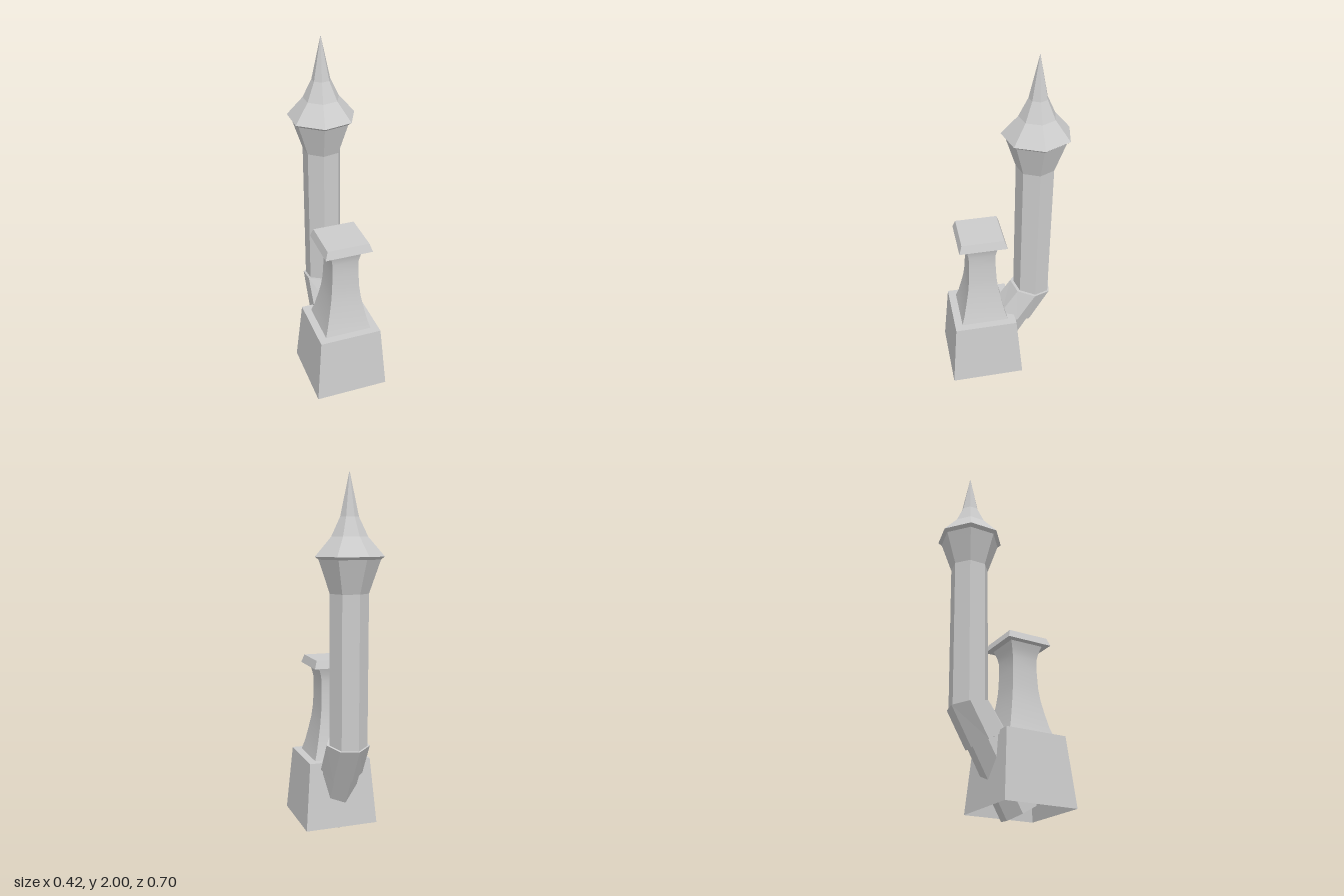
import * as THREE from 'three';
import { toCreasedNormals } from 'three/addons/utils/BufferGeometryUtils.js';

const GREY = 0xcccccc;
const flat = new THREE.MeshStandardMaterial({ color: GREY, flatShading: true, side: THREE.DoubleSide });
const smooth = new THREE.MeshStandardMaterial({ color: GREY });

// Square tapered solid from [half width, height] pairs, bottom to top
function squareLathe(profile) {
  const points = profile.map(([half, y]) => new THREE.Vector2(half * Math.SQRT2, y));
  return new THREE.LatheGeometry(points, 4).rotateY(Math.PI / 4);
}

// Seven-sided pipe from rings [y, z, radius, tilt], bottom to top
function sevenSided(rings) {
  const points = rings.map((ring, row) => new THREE.Vector2(1, row));
  const geo = new THREE.LatheGeometry(points, 7).rotateY(Math.PI / 2);
  const p = geo.attributes.position;
  for (let i = 0; i < p.count; i++) {
    const [y, z, r, tilt] = rings[Math.round(p.getY(i))];
    const s = p.getZ(i) * r;
    p.setXYZ(i, p.getX(i) * r, y + s * Math.sin(tilt), z + s * Math.cos(tilt));
  }
  geo.computeVertexNormals();
  return geo;
}

export function createModel() {
  const model = new THREE.Group();
  const add = (name, geo, material, z = 0) => {
    const mesh = new THREE.Mesh(geo, material);
    mesh.name = name;
    mesh.position.z = z;
    model.add(mesh);
  };

  // Square pedestal, open underneath
  add('base', squareLathe([[0.208, 0.06], [0.176, 0.435], [0, 0.435]]), flat, 0.14);

  // Waisted square column, smooth along its height with sharp corners
  const column = squareLathe([
    [0.133, 0.435], [0.117, 0.49], [0.1, 0.57], [0.087, 0.64], [0.079, 0.71],
    [0.075, 0.8], [0.075, 0.875], [0.083, 0.915], [0.097, 0.955],
  ]);
  add('column', toCreasedNormals(column, 0.8), smooth, 0.14);
  add('columnCap', squareLathe([[0, 0.955], [0.132, 0.955], [0.117, 1], [0, 1]]), flat, 0.14);

  // Slanted pipe passing through the pedestal
  const slant = Math.PI / 6;
  add('lowerPipe', sevenSided([[0.055, 0.14, 0.105, slant], [0.41, -0.06, 0.105, slant]]), flat);

  // Wider elbow sleeve with closed ends
  add('elbow', sevenSided([
    [0.404, -0.053, 0, slant], [0.404, -0.053, 0.12, slant],
    [0.57, -0.155, 0.12, 0.17], [0.57, -0.155, 0, 0.17],
  ]), flat);

  // Upright parts lean back slightly
  const lean = (y) => -0.16 - 0.009 * (y - 0.57);
  const upright = (profile) => sevenSided(profile.map(([r, y]) => [y, lean(y), r, 0]));
  add('shaft', upright([[0.105, 0.55], [0.105, 1.38], [0.165, 1.555]]), flat);
  add('roof', upright([
    [0.165, 1.555], [0.185, 1.57], [0.098, 1.67], [0.05, 1.77], [0, 2],
  ]), flat);

  return model;
}
